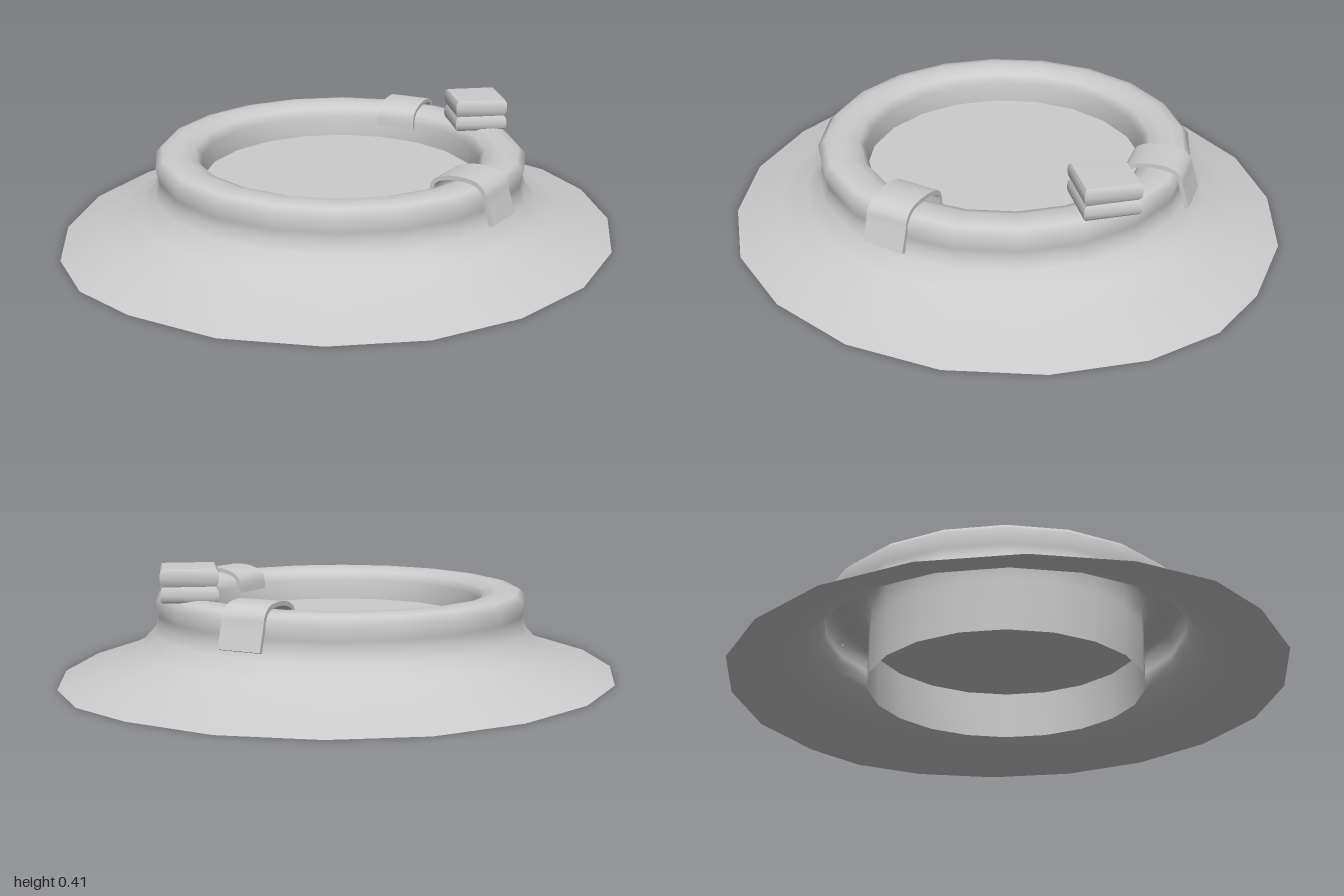
import * as THREE from 'three';
import { toCreasedNormals } from 'three/addons/utils/BufferGeometryUtils.js';

const SIDES = 20;
const START = THREE.MathUtils.degToRad(-96);
const material = new THREE.MeshStandardMaterial({ color: 0xcccccc, side: THREE.DoubleSide });

function part(name, geometry) {
  const mesh = new THREE.Mesh(geometry, material);
  mesh.name = name;
  return mesh;
}

// Half of the skirt's slightly uneven hem (x, z); the other half is its point reflection.
const HEM = [
  [-0.12, -0.955], [0.2, -0.94], [0.5, -0.83], [0.74, -0.63], [0.92, -0.36],
  [1, -0.05], [1, 0.2], [0.9, 0.45], [0.7, 0.69], [0.43, 0.87],
];

// Inner wall, rolled rim, neck and flared skirt: [radius, height, blend towards the hem]
const PROFILE = [
  [0.49, 0, 0], [0.493, 0.18, 0], [0.495, 0.255, 0], [0.515, 0.285, 0], [0.555, 0.3, 0],
  [0.6, 0.302, 0], [0.635, 0.295, 0], [0.66, 0.27, 0], [0.65, 0.22, 0], [0.652, 0.19, 0],
  [0.664, 0.155, 0], [0.664, 0.1, 0.16], [0.664, 0.055, 0.47], [0.664, 0, 1],
];

function bodyGeometry() {
  const positions = [], index = [];
  PROFILE.forEach(([r, y, blend], row) => {
    for (let k = 0; k < SIDES; k++) {
      const a = START + (k / SIDES) * Math.PI * 2;
      const s = k < 10 ? 1 : -1;
      const [hx, hz] = HEM[k % 10];
      positions.push(
        THREE.MathUtils.lerp(r * Math.cos(a), s * hx, blend), y,
        THREE.MathUtils.lerp(r * Math.sin(a), s * hz, blend));
      if (row === PROFILE.length - 1) continue;
      const n = (k + 1) % SIDES, i = row * SIDES, j = i + SIDES;
      index.push(i + k, i + n, j + k, i + n, j + n, j + k);
    }
  });
  const g = new THREE.BufferGeometry();
  g.setAttribute('position', new THREE.Float32BufferAttribute(positions, 3));
  g.setIndex(index);
  g.computeVertexNormals();
  return g;
}

// Thin band bent over the rim, running outward along local +x
function strapGeometry(width = 0.15, thickness = 0.015) {
  const curve = new THREE.SplineCurve([
    [-0.12, 0.24], [-0.113, 0.29], [-0.08, 0.315], [-0.02, 0.327],
    [0.05, 0.322], [0.085, 0.295], [0.096, 0.26], [0.12, 0.185],
  ].map(([x, y]) => new THREE.Vector2(x, y)));
  const outer = [], inner = [];
  for (let i = 0; i <= 20; i++) {
    const p = curve.getPoint(i / 20), t = curve.getTangent(i / 20);
    outer.push(p);
    inner.unshift(new THREE.Vector2(p.x + t.y * thickness, p.y - t.x * thickness));
  }
  const g = new THREE.ExtrudeGeometry(new THREE.Shape([...outer, ...inner]), {
    depth: width, bevelEnabled: false,
  });
  g.translate(0, 0, -width / 2);
  return toCreasedNormals(g, 0.7);
}

// Square block of two stacked cushions with a pinched waist
function clipGeometry() {
  const profile = [
    [0, 0.295], [0.125, 0.295], [0.134, 0.303], [0.136, 0.32], [0.133, 0.337], [0.124, 0.348],
    [0.133, 0.36], [0.136, 0.378], [0.134, 0.397], [0.125, 0.408], [0, 0.41],
  ].map(([r, y]) => new THREE.Vector2(r, y));
  return toCreasedNormals(new THREE.LatheGeometry(profile, 4), 0.9);
}

export function createModel() {
  const model = new THREE.Group();
  model.name = 'flaredCollar';

  model.add(part('rimAndSkirt', bodyGeometry()));

  // Recessed panel inside the rim
  const panel = part('innerPanel', new THREE.CircleGeometry(0.493, SIDES, -START));
  panel.rotation.x = -Math.PI / 2;
  panel.position.y = 0.18;
  model.add(panel);

  // Straps: [name, x, z, outward angle in degrees]
  const straps = [['frontStrap', 0.025, 0.57, 82], ['sideStrap', 0.552, -0.155, -18]];
  for (const [name, x, z, angle] of straps) {
    const strap = part(name, strapGeometry());
    strap.position.set(x, 0, z);
    strap.rotation.y = -THREE.MathUtils.degToRad(angle);
    model.add(strap);
  }

  const clip = part('clip', clipGeometry());
  clip.position.set(0.545, 0, 0.185);
  clip.rotation.y = 0.11;
  model.add(clip);

  return model;
}
